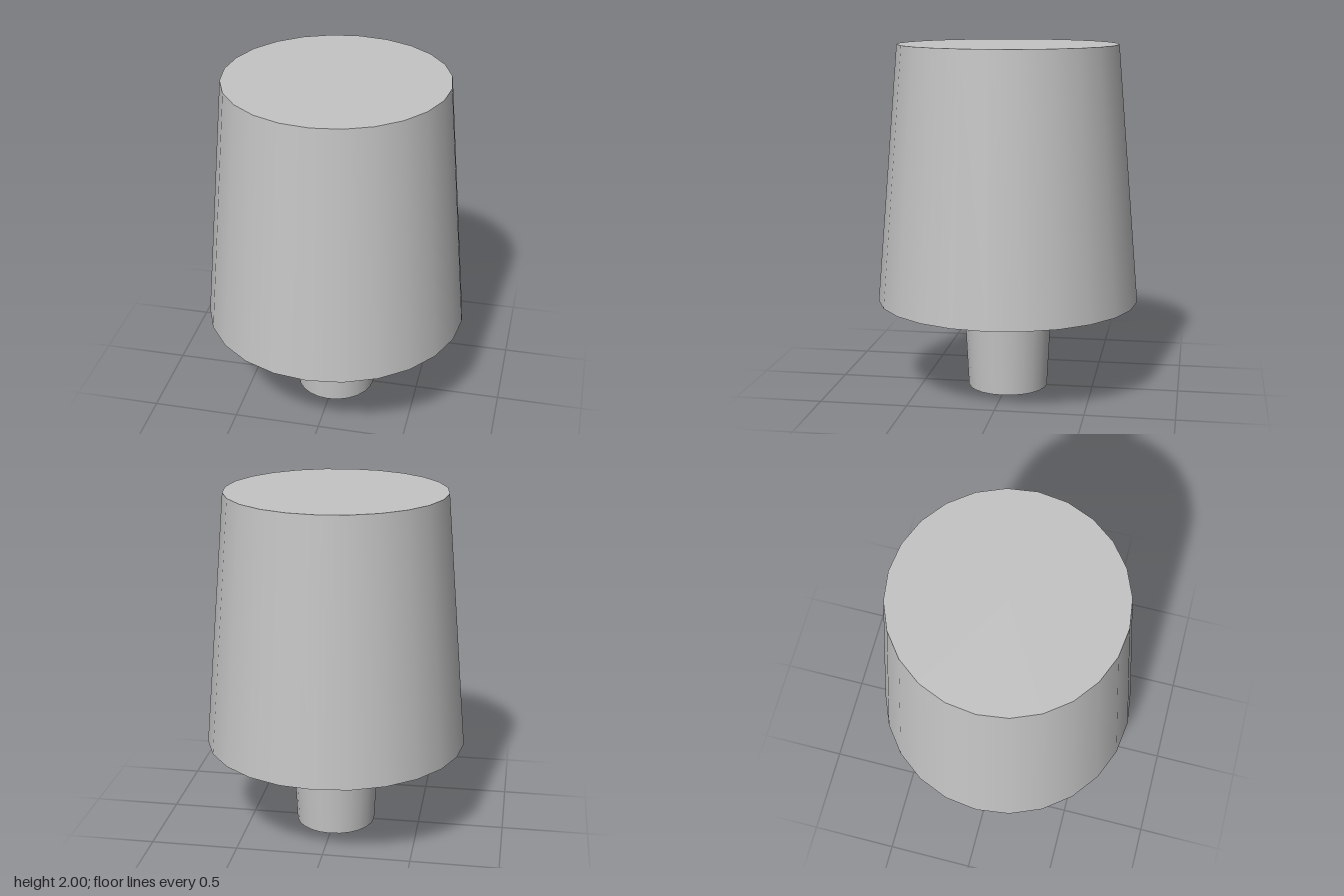
import * as THREE from 'three';
import { mergeGeometries } from 'three/addons/utils/BufferGeometryUtils.js';

const SIDES = 24;

// Revolve each profile segment on its own, so sides are smooth and rims stay sharp
function revolve(profile) {
  const points = profile.map(([r, y]) => new THREE.Vector2(r, y));
  const bands = [];
  for (let i = 0; i < points.length - 1; i++) {
    bands.push(new THREE.LatheGeometry([points[i], points[i + 1]], SIDES));
  }
  return mergeGeometries(bands);
}

export function createModel() {
  const group = new THREE.Group();
  const grey = new THREE.MeshStandardMaterial({ color: 0xc4c4c4 });
  grey.name = 'light grey';

  const addPart = (name, profile) => {
    const mesh = new THREE.Mesh(revolve(profile), grey);
    mesh.name = name;
    group.add(mesh);
  };

  // Tapered body with a recess in its underside: ceiling, inner wall, rim, outer wall, top
  addPart('body', [
    [0, 0.95],
    [0.61, 0.95],
    [0.648, 0.525],
    [0.755, 0.525],
    [0.63, 2],
    [0, 2],
  ]);

  // Stem widening upward into the recess
  addPart('stem', [
    [0, 0],
    [0.232, 0],
    [0.28, 0.95],
  ]);

  return group;
}
